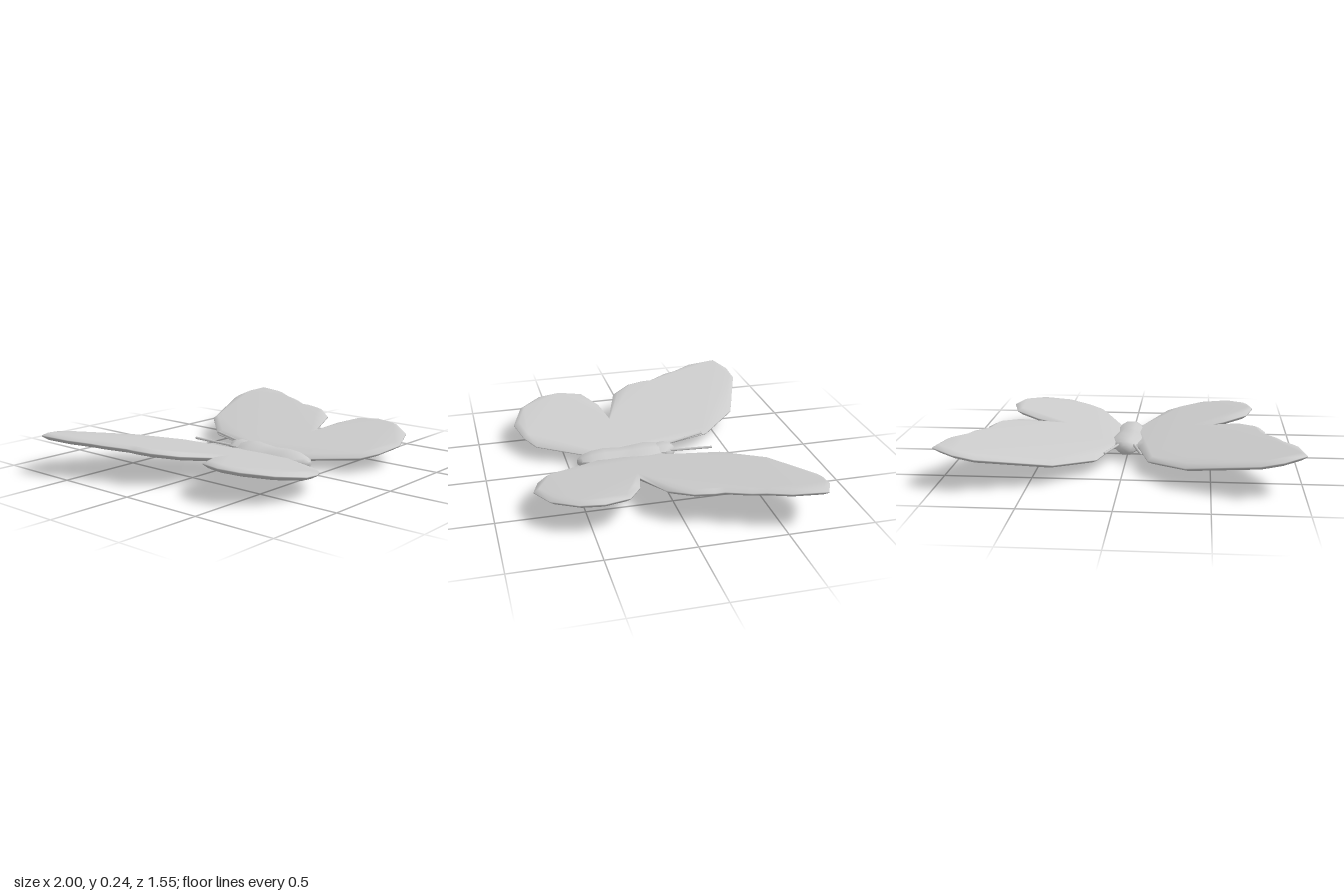
import * as THREE from 'three';
import { mergeVertices, toCreasedNormals } from 'three/addons/utils/BufferGeometryUtils.js';

const material = new THREE.MeshStandardMaterial({ color: 0xcccccc });

function addMesh(group, geometry, name) {
  const mesh = new THREE.Mesh(geometry, material);
  mesh.name = name;
  group.add(mesh);
  return mesh;
}

// Outline of one pair of wings seen from above, as [x, z]
const wingOutline = [
  [0.02, -0.05], [0.075, -0.09], [0.145, -0.395], [0.36, -0.63], [0.755, -0.78], [0.877, -0.77],
  [1, -0.71], [0.968, -0.52], [0.904, -0.4], [0.882, -0.326], [0.813, -0.2],
  [0.813, -0.144], [0.786, -0.037], [0.684, 0.086], [0.42, 0.172], [0.583, 0.209],
  [0.727, 0.294], [0.77, 0.44], [0.743, 0.572], [0.63, 0.71], [0.45, 0.775],
  [0.3, 0.733], [0.198, 0.67], [0.064, 0.4], [0.02, 0.32],
];

// Thin plate with a bevelled rim, raised towards the tip
function wingGeometry(side) {
  const shape = new THREE.Shape(wingOutline.map(([x, z]) => new THREE.Vector2(side * x, z)));
  let geo = new THREE.ExtrudeGeometry(shape, {
    depth: 0.006, bevelThickness: 0.019, bevelSize: 0.03, bevelOffset: -0.03, bevelSegments: 1,
  });
  geo.translate(0, 0, -0.003).rotateX(Math.PI / 2);
  const p = geo.attributes.position;
  for (let i = 0; i < p.count; i++) p.setY(i, p.getY(i) + 0.055 + 0.172 * Math.abs(p.getX(i)));
  geo.deleteAttribute('uv');
  geo.deleteAttribute('normal');
  geo = mergeVertices(geo, 1e-4);
  geo.computeVertexNormals();
  return geo;
}

// Closed skin over elliptical sections: [z, half width, bottom, top]
function loftGeometry(sections, sides) {
  const pos = [], index = [];
  for (const [z, w, y0, y1] of sections) {
    for (let j = 0; j < sides; j++) {
      const a = ((j + 0.5) / sides) * Math.PI * 2;
      const k = 1 / Math.cos(Math.PI / sides);
      pos.push(Math.cos(a) * w * k, (y0 + y1) / 2 + (Math.sin(a) * (y1 - y0) * k) / 2, z);
    }
  }
  const n = sections.length;
  for (let i = 0; i < n - 1; i++) {
    for (let j = 0; j < sides; j++) {
      const a = i * sides + j, b = i * sides + ((j + 1) % sides);
      index.push(a, b, a + sides, b, b + sides, a + sides);
    }
  }
  for (let j = 1; j < sides - 1; j++) {
    const e = (n - 1) * sides;
    index.push(0, j + 1, j, e, e + j, e + j + 1);
  }
  const geo = new THREE.BufferGeometry();
  geo.setAttribute('position', new THREE.Float32BufferAttribute(pos, 3));
  geo.setIndex(index);
  return toCreasedNormals(geo, 0.9);
}

export function createModel() {
  const model = new THREE.Group();
  model.name = 'butterfly';

  // Thorax and abdomen
  addMesh(model, loftGeometry([
    [-0.09, 0.05, 0.03, 0.1], [-0.04, 0.075, 0.018, 0.115], [0.04, 0.095, 0.002, 0.122],
    [0.12, 0.082, 0.015, 0.115], [0.19, 0.07, 0.023, 0.11], [0.29, 0.079, 0.01, 0.115],
    [0.37, 0.07, 0.017, 0.107], [0.43, 0.045, 0.028, 0.09], [0.455, 0.015, 0.045, 0.072],
  ], 8), 'body');

  // Head
  addMesh(model, loftGeometry([
    [-0.14, 0.03, 0.05, 0.095], [-0.12, 0.052, 0.033, 0.112],
    [-0.08, 0.068, 0.03, 0.12], [-0.03, 0.065, 0.035, 0.115],
  ], 8), 'head');

  for (const [side, label] of [[1, 'left'], [-1, 'right']]) {
    addMesh(model, wingGeometry(side), label + 'Wings');

    // Antenna
    const path = new THREE.LineCurve3(
      new THREE.Vector3(side * 0.045, 0.09, -0.1),
      new THREE.Vector3(side * 0.103, 0.11, -0.348));
    addMesh(model, new THREE.TubeGeometry(path, 1, 0.008, 6).toNonIndexed(), label + 'Antenna');

    // Cap at the antenna tip
    const tip = addMesh(model, new THREE.SphereGeometry(0.008, 6, 4), label + 'AntennaTip');
    tip.position.copy(path.v2);
  }
  return model;
}
